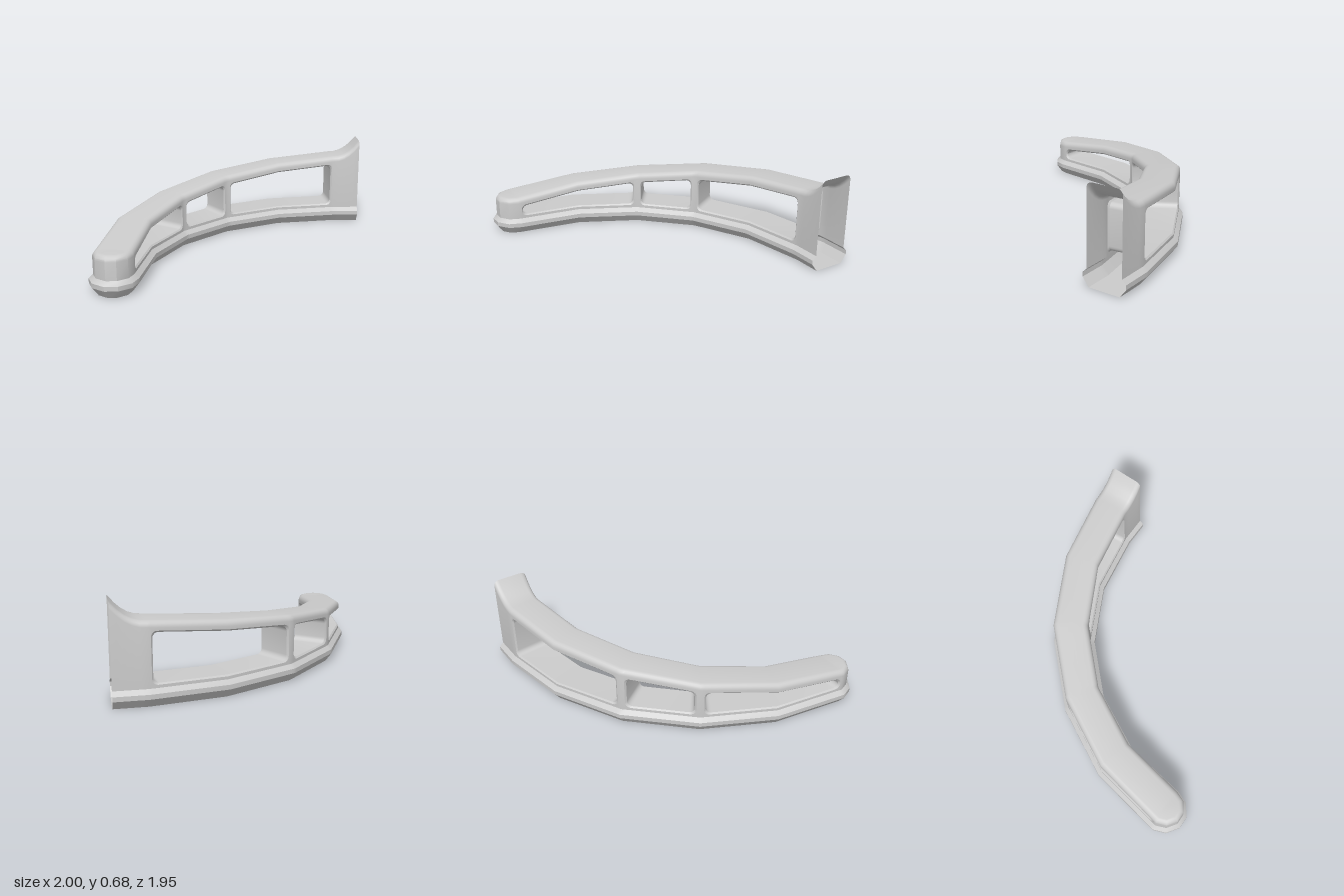
import * as THREE from 'three';
import { toCreasedNormals } from 'three/addons/utils/BufferGeometryUtils.js';

// Stations along the curve: outer x,z / inner x,z of the widest base edge, and top height
const STATIONS = [
  [1, -0.98, 1, -0.66, 0.68],
  [0.77, -0.98, 0.8, -0.66, 0.55],
  [0.25, -0.89, 0.34, -0.585, 0.51],
  [-0.25, -0.64, -0.075, -0.375, 0.46],
  [-0.65, -0.23, -0.395, -0.055, 0.4],
  [-0.905, 0.27, -0.6, 0.355, 0.345],
  [-1, 0.82, -0.67, 0.82, 0.285],
];
const TIP = [[-0.965, 0.91], [-0.88, 0.97], [-0.79, 0.97], [-0.705, 0.91]];
const WINDOWS = [[1.04, 2.95], [3.05, 3.95], [4.05, 5.96]];
const BASE = 0.16, WALL = 0.13, WALL_FOOT = 0.12, ROUND = 0.04;
const SILL = 0.14, HEAD = 0.06, CORNER = 0.04, UNIT = 0.5;

// Centre, sideways direction and top height at curve position s (0 = open end, 6 = tip)
function at(s) {
  const i = Math.min(5, Math.floor(s)), f = s - i;
  const [ox, oz, ix, iz, h] = STATIONS[i].map((v, k) => v + (STATIONS[i + 1][k] - v) * f);
  return {
    s,
    cx: (ox + ix) / 2, cz: (oz + iz) / 2,
    dx: (ox - ix) / 2 / BASE, dz: (oz - iz) / 2 / BASE,
    top: s < 1 ? 0.55 + 0.13 * Math.pow(1 - s, 2.2) : h,
  };
}
const point = (c, h, y) => [c.cx + c.dx * h, y, c.cz + c.dz * h];

// Collects quads, dropping collapsed triangles
class Surface {
  constructor() { this.data = []; }
  tri(...p) {
    const [a, b, c] = p.map((v) => new THREE.Vector3(...v));
    if (b.sub(a).cross(c.sub(a)).length() > 1e-9) p.forEach((v) => this.data.push(...v));
  }
  quad(a, b, c, d) { this.tri(a, b, c); this.tri(a, c, d); }
  mesh(name, material) {
    const g = new THREE.BufferGeometry();
    g.setAttribute('position', new THREE.Float32BufferAttribute(this.data, 3));
    const m = new THREE.Mesh(toCreasedNormals(g, 0.6), material);
    m.name = name;
    return m;
  }
}

// Curve positions across one window, dense in the rounded corners
function windowSteps([s0, s1]) {
  const r = CORNER / UNIT, steps = [];
  for (let k = 0; k <= 5; k++) {
    const d = r * (1 - Math.cos((k / 5) * Math.PI / 2));
    steps.push(s0 + d, s1 - d);
  }
  for (let i = Math.ceil(s0); i <= s1; i++) steps.push(i);
  return steps.sort((a, b) => a - b);
}

// Lower and upper edge of a window at s
function opening([s0, s1], s, top) {
  const d = Math.max(0, Math.min(1, Math.min(s - s0, s1 - s) / (CORNER / UNIT)));
  const k = CORNER * (1 - Math.sqrt(1 - (1 - d) ** 2));
  return [SILL + k, Math.max(SILL + k, top - HEAD - k)];
}

// Columns down the outer side, around the tip and back up the inner side
function outline() {
  const steps = [0, 0.2, 0.4, 0.6, 0.8, 1, 2, 3, 4, 5, 6, ...WINDOWS.flatMap(windowSteps)];
  const unique = [...new Set(steps)].sort((a, b) => a - b);
  const outer = unique.map(at);
  const inner = outer.map((c) => ({ ...c, dx: -c.dx, dz: -c.dz })).reverse();
  const end = at(6);
  const tip = TIP.map(([x, z]) => ({
    ...end, s: 7, dx: (x - end.cx) / BASE, dz: (z - end.cz) / BASE,
  }));
  return [...outer, ...tip, ...inner];
}

// Sweep a profile of [half width, height] pairs along the outline
function sweep(surface, cols, profile) {
  for (let i = 0; i + 1 < cols.length; i++) {
    const a = cols[i], b = cols[i + 1], pa = profile(a), pb = profile(b);
    for (let j = 0; j + 1 < pa.length; j++) {
      surface.quad(point(a, ...pa[j]), point(b, ...pb[j]),
        point(b, ...pb[j + 1]), point(a, ...pa[j + 1]));
    }
  }
}

// Side walls, left open where a window lies
function addWalls(surface, cols) {
  for (let i = 0; i + 1 < cols.length; i++) {
    const a = cols[i], b = cols[i + 1], mid = (a.s + b.s) / 2;
    const win = Math.max(a.s, b.s) <= 6 && WINDOWS.find((w) => mid > w[0] && mid < w[1]);
    const strip = (a0, a1, b0, b1) => surface.quad(point(a, WALL, a0), point(b, WALL, b0),
      point(b, WALL, b1), point(a, WALL, a1));
    const ta = a.top - ROUND, tb = b.top - ROUND;
    if (win) {
      const [la, ha] = opening(win, a.s, a.top), [lb, hb] = opening(win, b.s, b.top);
      strip(WALL_FOOT, la, WALL_FOOT, lb);
      strip(ha, ta, hb, tb);
    } else strip(WALL_FOOT, ta, WALL_FOOT, tb);
  }
}

// Bevelled tunnel through the body for one window
function addLining(surface, win) {
  const steps = windowSteps(win), [s0, s1] = win;
  const loop = (h, inset) => {
    const e = inset / UNIT, low = [], high = [];
    for (const s of steps) {
      const c = at(s0 + e + (s - s0) * (s1 - s0 - 2 * e) / (s1 - s0));
      const [lo, hi] = opening(win, s, at(s).top);
      low.push(point(c, h, lo + inset));
      high.unshift(point(c, h, hi - inset));
    }
    return [...low, ...high, low[0]];
  };
  const b = 0.01;
  const rings = [loop(WALL, 0), loop(WALL - b, b), loop(b - WALL, b), loop(-WALL, 0)];
  for (let j = 0; j < 3; j++) {
    for (let i = 0; i + 1 < rings[0].length; i++) {
      surface.quad(rings[j][i], rings[j][i + 1], rings[j + 1][i + 1], rings[j + 1][i]);
    }
  }
}

export function createModel() {
  const group = new THREE.Group();
  group.name = 'curvedRail';
  const material = new THREE.MeshStandardMaterial({ color: 0xcccccc, side: THREE.DoubleSide });
  const cols = outline();

  // Flared foot with a closed underside
  const foot = new Surface();
  sweep(foot, cols, () => [[0, 0], [0.115, 0], [BASE, 0.06], [BASE, 0.092], [WALL, WALL_FOOT]]);
  group.add(foot.mesh('foot', material));

  // Walls and rounded top, rising into a flare at the open end
  const body = new Surface();
  addWalls(body, cols);
  sweep(body, cols, (c) => {
    const p = [];
    for (let k = 0; k <= 5; k++) {
      const t = (k / 5) * Math.PI / 2;
      p.push([WALL - ROUND * (1 - Math.cos(t)), c.top - ROUND * (1 - Math.sin(t))]);
    }
    return [...p, [0, c.top]];
  });
  group.add(body.mesh('body', material));

  // Window tunnels
  WINDOWS.forEach((w, i) => {
    const lining = new Surface();
    addLining(lining, w);
    group.add(lining.mesh('windowLining' + (i + 1), material));
  });
  return group;
}
